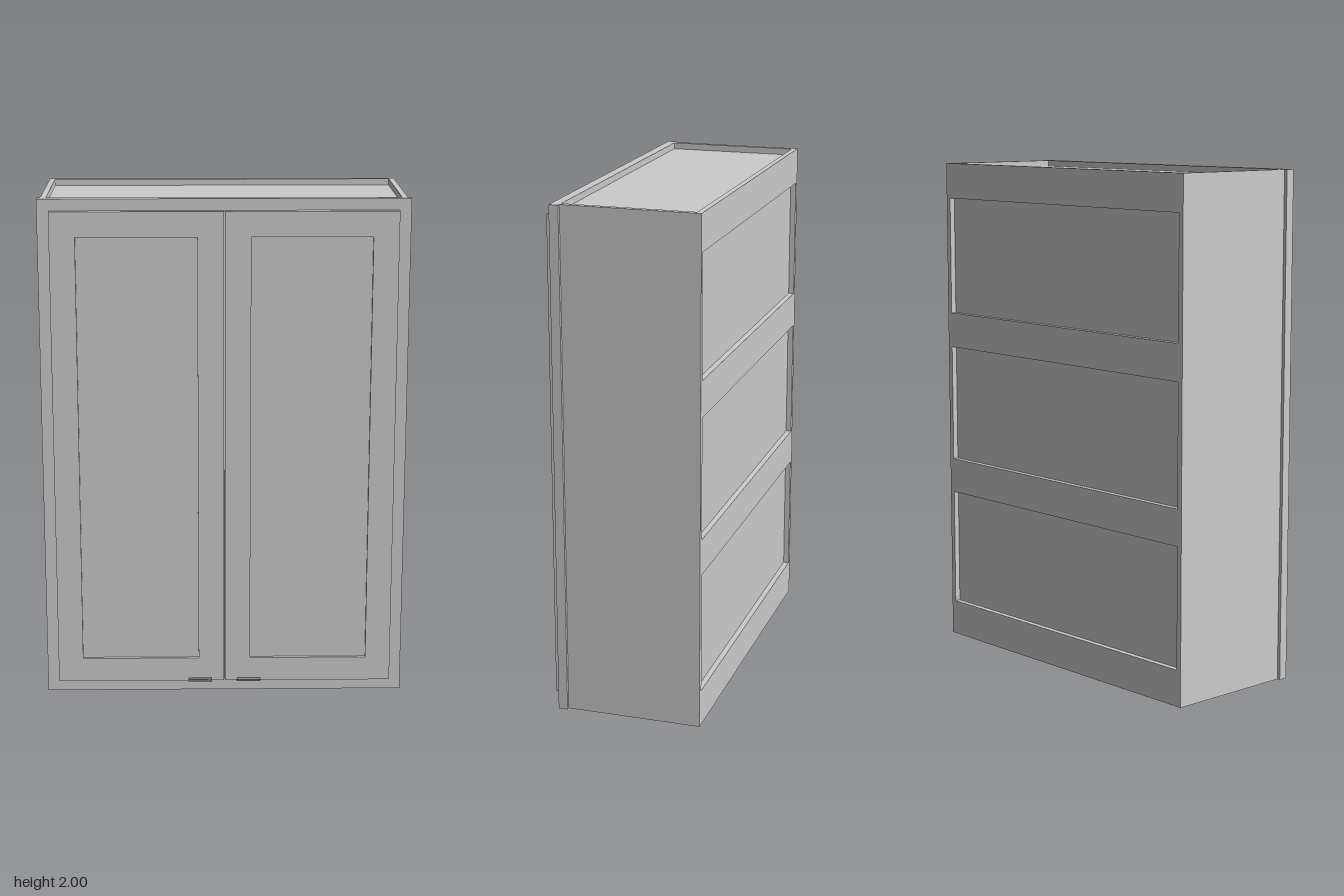
import * as THREE from 'three';

const grey = new THREE.MeshStandardMaterial({ color: 0xcccccc });

export function createModel() {
  const model = new THREE.Group();
  model.name = 'wallCabinet';

  const add = (name, geometry, parent = model) => {
    const mesh = new THREE.Mesh(geometry, grey);
    mesh.name = name;
    parent.add(mesh);
    return mesh;
  };
  // Box given by its minimum and maximum on each axis
  const box = (name, x0, x1, y0, y1, z0, z1, parent) =>
    add(name, new THREE.BoxGeometry(x1 - x0, y1 - y0, z1 - z0), parent)
      .position.set((x0 + x1) / 2, (y0 + y1) / 2, (z0 + z1) / 2);
  const trace = (path, x0, x1, y0, y1) => {
    path.moveTo(x0, y0);
    path.lineTo(x1, y0);
    path.lineTo(x1, y1);
    path.lineTo(x0, y1);
    path.closePath();
    return path;
  };
  // Rectangular frame with a rectangular opening, extruded from z0 to z1
  const frame = (name, outer, inner, z0, z1, parent) => {
    const shape = trace(new THREE.Shape(), ...outer);
    shape.holes.push(trace(new THREE.Path(), ...inner));
    add(name, new THREE.ExtrudeGeometry(shape, { depth: z1 - z0, bevelEnabled: false }), parent)
      .position.z = z0;
  };

  const W = 0.70, T = 0.022, H = 2;
  const back = -0.315, front = 0.2195, faceZ = 0.256, doorZ = 0.283;
  const inX = W - T, inBack = back + T;

  // Carcass: sides, recessed top and bottom, back panel
  box('leftSide', inX, W, 0, H, back, front);
  box('rightSide', -W, -inX, 0, H, back, front);
  box('topPanel', -inX, inX, H - 0.047, H - 0.025, inBack, front);
  box('bottomPanel', -inX, inX, 0.025, 0.047, inBack, front);
  box('backPanel', -inX, inX, 0.025, H - 0.025, inBack, inBack + 0.012);

  // Four evenly spaced hanging rails behind the back panel
  const railH = 0.143;
  for (let i = 0; i < 4; i++) {
    const y = i * (H - railH) / 3;
    box('backRail' + (i + 1), -inX, inX, y, y + railH, back, inBack);
  }

  // Face frame, slightly wider than the carcass, with a centre stile
  frame('faceFrame', [-0.713, 0.713, 0, H], [-0.61, 0.61, 0.1, 1.9], front, faceZ);
  box('centreStile', -0.05, 0.05, 0.1, 1.9, front, faceZ);

  // Curved edge pull: a thin strip hooked under the door and turned outward
  const pull = new THREE.Shape();
  pull.moveTo(0.262, 0.047);
  pull.lineTo(0.286, 0.047);
  pull.bezierCurveTo(0.296, 0.048, 0.297, 0.061, 0.306, 0.062);
  pull.quadraticCurveTo(0.315, 0.063, 0.315, 0.074);
  pull.lineTo(0.311, 0.075);
  pull.quadraticCurveTo(0.311, 0.067, 0.304, 0.066);
  pull.bezierCurveTo(0.294, 0.065, 0.294, 0.052, 0.285, 0.051);
  pull.lineTo(0.262, 0.051);
  pull.closePath();
  const pullGeometry = new THREE.ExtrudeGeometry(pull, {
    depth: 0.095, bevelEnabled: false, curveSegments: 6,
  });
  pullGeometry.rotateY(-Math.PI / 2); // profile x becomes z, extrusion runs to -x

  // Pair of framed doors with recessed centre panels
  for (const [side, s] of [['left', 1], ['right', -1]]) {
    const door = new THREE.Group();
    door.name = side + 'Door';
    const span = (a, b) => (s > 0 ? [a, b] : [-b, -a]);
    frame('doorFrame', [...span(0.002, 0.667), 0.05, 1.955],
      [...span(0.103, 0.568), 0.147, 1.857], faceZ, doorZ, door);
    box('doorPanel', ...span(0.095, 0.576), 0.14, 1.865, faceZ + 0.002, doorZ - 0.013, door);
    add('doorPull', pullGeometry, door).position.x = s > 0 ? 0.145 : -0.05;
    model.add(door);
  }

  return model;
}
